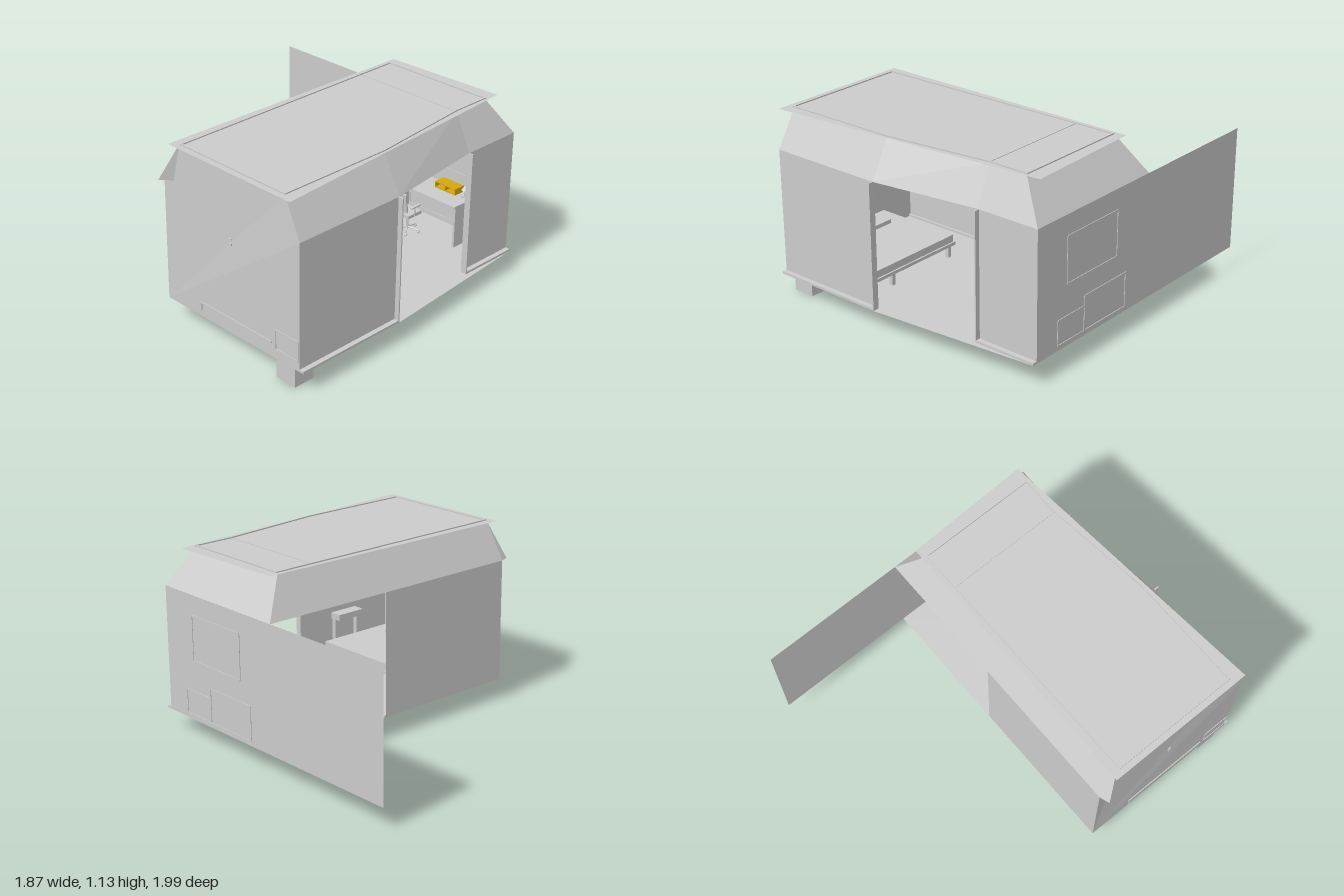
import * as THREE from 'three';

const grey = new THREE.MeshStandardMaterial({ color: 0xcccccc, flatShading: true, side: THREE.DoubleSide });
const yellow = new THREE.MeshStandardMaterial({ color: 0xd4a80a });

export function createModel() {
  const root = new THREE.Group();

  // flat convex panel from its corner points
  function sheet(name, pts, parent = root) {
    const g = new THREE.BufferGeometry();
    g.setAttribute('position', new THREE.Float32BufferAttribute(pts.flat(), 3));
    const idx = [];
    for (let i = 1; i < pts.length - 1; i++) idx.push(0, i, i + 1);
    g.setIndex(idx);
    g.computeVertexNormals();
    return add(name, g, parent);
  }
  function add(name, g, parent = root, mat = grey) {
    const m = new THREE.Mesh(g, mat);
    m.name = name;
    parent.add(m);
    return m;
  }
  // box from min and max along each axis
  function box(name, x0, x1, y0, y1, z0, z1, parent = root, mat = grey) {
    const m = add(name, new THREE.BoxGeometry(x1 - x0, y1 - y0, z1 - z0), parent, mat);
    m.position.set((x0 + x1) / 2, (y0 + y1) / 2, (z0 + z1) / 2);
    return m;
  }
  function rod(name, a, b, r, parent) {
    const p = new THREE.Vector3(...a), q = new THREE.Vector3(...b);
    const m = add(name, new THREE.CylinderGeometry(r, r, p.distanceTo(q), 8), parent);
    m.position.copy(p).add(q).multiplyScalar(0.5);
    m.quaternion.setFromUnitVectors(new THREE.Vector3(0, 1, 0), q.sub(p).normalize());
    return m;
  }
  // rectangular outline on an end wall
  function outline(name, x, y0, y1, z0, z1, parent = root) {
    const t = 0.004;
    const g = new THREE.Group();
    g.name = name;
    box('topBar', x - t, x + t, y1 - t, y1 + t, z0, z1, g);
    box('bottomBar', x - t, x + t, y0 - t, y0 + t, z0, z1, g);
    for (const z of [z0, z1]) box('sideBar', x - t, x + t, y0, y1, z - t, z + t, g);
    parent.add(g);
  }

  const F = 0.13, E = 0.9, T = 1.125;   // floor, eaves and roof heights
  const L = -0.88, R = 0.93, B = -0.1;  // left end, right end, back
  const A = -0.14, C = 0.53;            // edges of the front opening
  const ZL = 0.96, ZR = 0.87;           // front wall depth at each side

  // floor and corner foot
  sheet('floor', [[A, F, 0.99], [C, F, 0.9], [R, F, 0.9], [R, F, B], [L, F, B], [L, F, 0.99]]);
  box('foot', -0.865, -0.725, 0, F, 0.77, 0.91);

  // walls
  sheet('frontWallWide', [[L, F, ZL], [A, F, ZL], [A, E, ZL], [L, E, ZL]]);
  sheet('frontWallNarrow', [[C, F, ZR], [R, F, ZR], [R, E, ZR], [C, E, ZR]]);
  sheet('backWall', [[0.085, F, B], [L, F, B], [L, E, B], [0.085, E, B]]);
  sheet('windowWall', [[R, F, ZR], [R, F, B], [R, E, B], [R, E, ZR]]);
  sheet('gableWall', [[L, F, B], [L, F, ZL], [L, E, ZL], [-0.866, T, 0.84], [-0.866, T, 0.02], [L, E, B]]);
  sheet('openBackDoor', [[R, F, B], [R, F, -1], [R, E, -1], [R, E, B]]);

  // front door tracks and jambs
  box('wideTrack', L, A, F, F + 0.014, ZL, 0.99);
  box('narrowTrack', C, R, F, F + 0.014, ZR, 0.9);
  box('backTrack', L, 0.095, F, F + 0.014, B, B + 0.015);
  box('wideJamb', A - 0.008, A, F, E, ZL - 0.01, 0.99);
  box('narrowJamb', C, C + 0.008, F, E, ZR - 0.01, 0.9);

  // sloping roof skirt
  const eaves = [[L, E, ZL], [A, E, ZL], [C, E, ZR], [R, E, ZR], [R, E, B], [L, E, B]];
  const crown = [[-0.866, T, 0.84], [A, T, 0.84], [C, T, 0.77], [0.775, T, 0.77], [0.775, T, 0.02], [-0.866, T, 0.02]];
  for (let i = 0; i < 5; i++) sheet('roofSlope', [eaves[i], eaves[i + 1], crown[i + 1], crown[i]]);
  sheet('cornerFlap', [[L, E, B], [-0.866, T, 0.02], [-0.94, E, -0.08]]);
  sheet('cornerFlapReturn', [[-0.94, E, -0.08], [-0.866, T, 0.02], [L, E, -0.02]]);

  // flat overhanging roof sheet with a raised rim
  sheet('roofSheet', [[-0.91, 1.128, 0.92], [0.87, 1.128, 0.78], [0.84, 1.128, 0], [-0.91, 1.128, -0.02]]);
  const rimShape = (e) => [[-0.873 + e, 0.845 - e], [A, 0.845 - e], [C, 0.77 - e], [0.78 - e, 0.77 - e], [0.78 - e, 0.025 + e], [-0.873 + e, 0.035 + e]]
    .map(([x, z]) => new THREE.Vector2(x, -z));
  const shape = new THREE.Shape(rimShape(0));
  shape.holes.push(new THREE.Path(rimShape(0.01)));
  const rim = add('roofRim', new THREE.ExtrudeGeometry(shape, { depth: 0.007, bevelEnabled: false }));
  rim.rotation.x = -Math.PI / 2;
  rim.position.y = 1.128;
  box('roofSeam', 0.521, 0.525, 1.128, 1.131, 0.03, 0.77);

  // window and hatches on the right end
  outline('windowFrame', R, 0.5, 0.776, 0.18, 0.62);
  outline('largeHatch', R, 0.16, 0.37, 0.095, 0.465);
  outline('smallHatch', R, 0.16, 0.31, 0.465, 0.695);

  // rail, hatch and handles on the left end
  box('endRail', L - 0.006, L, 0.215, 0.225, 0.18, 0.75);
  box('endRailPost', L - 0.006, L, 0.17, 0.22, 0.178, 0.188);
  outline('endHatch', L, 0.19, 0.31, 0.78, 0.95);
  for (const y of [0.68, 0.71]) box('endHandle', L - 0.006, L, y, y + 0.012, 0.43, 0.445);

  // bed
  const bed = new THREE.Group();
  bed.name = 'bed';
  root.add(bed);
  box('bedFrame', -0.84, -0.25, 0.215, 0.235, 0.18, 0.86, bed);
  box('mattress', -0.83, -0.26, 0.235, 0.28, 0.19, 0.85, bed);
  box('pillow', -0.81, -0.66, 0.28, 0.305, 0.3, 0.72, bed);
  for (const x of [-0.8, -0.29]) for (const z of [0.2, 0.68]) box('bedLeg', x - 0.012, x + 0.012, F, 0.215, z - 0.012, z + 0.012, bed);

  // bedside shelf
  box('shelfTop', -0.6, -0.4, 0.38, 0.42, 0.87, 0.95);
  for (const x of [-0.59, -0.41]) box('shelfLeg', x - 0.01, x + 0.01, F, 0.38, 0.91, 0.94);

  // desk with items
  const desk = new THREE.Group();
  desk.name = 'desk';
  root.add(desk);
  box('deskTop', 0.71, 0.92, 0.39, 0.405, 0.08, 0.64, desk);
  for (const z of [0.08, 0.625]) box('deskEnd', 0.72, 0.92, F, 0.39, z, z + 0.015, desk);
  box('notebook', 0.77, 0.83, 0.405, 0.409, 0.2, 0.28, desk);
  // open-fronted organiser
  box('organiserBase', 0.83, 0.91, 0.405, 0.41, 0.38, 0.54, desk, yellow);
  box('organiserTop', 0.83, 0.91, 0.44, 0.445, 0.38, 0.54, desk, yellow);
  box('organiserBack', 0.905, 0.91, 0.41, 0.44, 0.38, 0.54, desk, yellow);
  for (const z of [0.38, 0.457, 0.535]) box('organiserDivider', 0.83, 0.905, 0.41, 0.44, z, z + 0.005, desk, yellow);
  // lamp
  rod('lampBase', [0.86, 0.405, 0.59], [0.86, 0.413, 0.59], 0.02, desk);
  rod('lampStem', [0.86, 0.413, 0.59], [0.86, 0.46, 0.59], 0.004, desk);
  const shade = add('lampShade', new THREE.ConeGeometry(0.022, 0.03, 12), desk);
  shade.position.set(0.86, 0.465, 0.59);

  // swivel chair
  const chair = new THREE.Group();
  chair.name = 'chair';
  chair.position.set(0.68, F, 0.3);
  root.add(chair);
  for (let i = 0; i < 5; i++) {
    const a = i * Math.PI * 2 / 5, x = 0.075 * Math.cos(a), z = 0.075 * Math.sin(a);
    rod('chairSpoke', [0, 0.03, 0], [x, 0.02, z], 0.005, chair);
    const caster = add('caster', new THREE.SphereGeometry(0.01, 8, 6), chair);
    caster.position.set(x, 0.01, z);
  }
  rod('chairColumn', [0, 0.025, 0], [0, 0.12, 0], 0.008, chair);
  box('chairSeat', -0.06, 0.06, 0.12, 0.14, -0.06, 0.06, chair);
  box('chairBack', -0.078, -0.066, 0.165, 0.29, -0.055, 0.055, chair).rotation.z = 0.1;
  rod('chairSpine', [-0.05, 0.13, 0], [-0.075, 0.2, 0], 0.006, chair);
  for (const z of [-0.065, 0.065]) {
    rod('armPost', [-0.01, 0.13, z], [-0.01, 0.19, z], 0.004, chair);
    box('armRest', -0.045, 0.035, 0.188, 0.196, z - 0.01, z + 0.01, chair);
  }
  return root;
}
